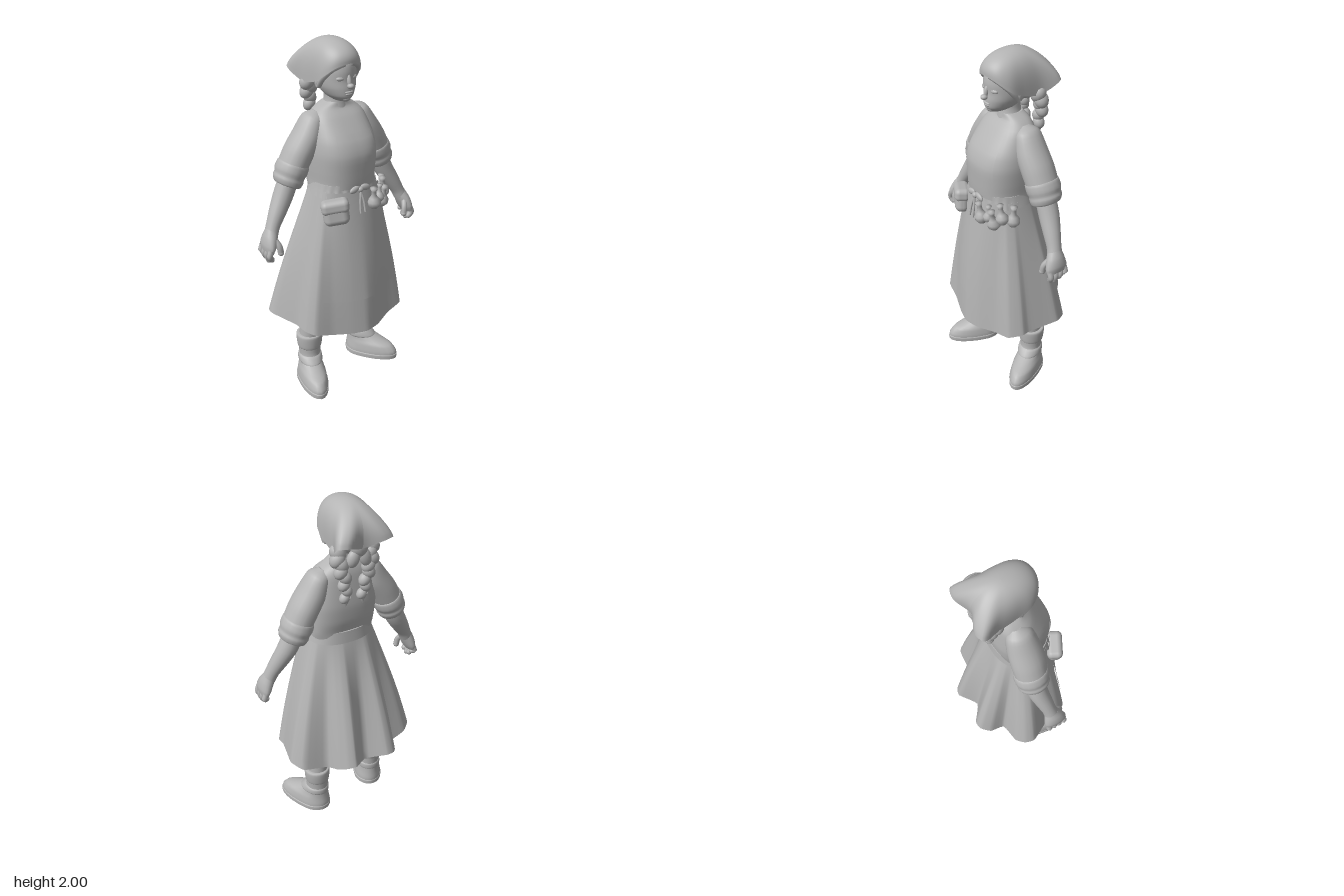
import * as THREE from 'three';
import { RoundedBoxGeometry } from 'three/addons/geometries/RoundedBoxGeometry.js';

const V = (x, y, z) => new THREE.Vector3(x, y, z);
const TAU = Math.PI * 2;
const soften = (t, e) => Math.sign(t) * Math.abs(t) ** e;

// Surface through horizontal sections [y, centreX, centreZ, radiusX, frontZ, backZ]; u runs back, left, front, right.
// A power below 1 makes the sections squarer.
function sections(rows, slope = 0, power = 1) {
  const mid = new THREE.CatmullRomCurve3(rows.map(r => V(r[1], r[0], r[2])), false, 'catmullrom', 0.4);
  const rad = new THREE.CatmullRomCurve3(rows.map(r => V(r[3], r[4], r[5] ?? r[4])), false, 'catmullrom', 0.4);
  return (u, v) => {
    const c = mid.getPoint(v), r = rad.getPoint(v);
    const dx = soften(Math.sin(TAU * u), power) * r.x, k = soften(-Math.cos(TAU * u), power);
    return V(c.x + dx, c.y + slope * dx, c.z + k * (k > 0 ? r.y : r.z));
  };
}

function geometry(points, index) {
  const g = new THREE.BufferGeometry().setFromPoints(points);
  g.setIndex(index);
  g.computeVertexNormals();
  return g;
}

// Closed skin with end caps, from top (v = 0) to bottom (v = 1)
function loft(fn, nu = 20, nv = 16, lift = 0) {
  const pts = [], idx = [];
  for (let i = 0; i <= nv; i++) for (let j = 0; j < nu; j++) pts.push(fn(j / nu, i / nv));
  for (let i = 0; i < nv; i++) for (let j = 0; j < nu; j++) {
    const k = (j + 1) % nu, a = i * nu + j, b = i * nu + k, c = a + nu, d = b + nu;
    idx.push(a, b, c, b, d, c);
  }
  for (const end of [0, 1]) {
    const ring = pts.slice(end * nv * nu, end * nv * nu + nu), base = pts.length;
    const mid = ring.reduce((s, p) => s.add(p), V(0, 0, 0)).divideScalar(nu);
    if (end) mid.y += lift;
    pts.push(...ring, mid);
    for (let j = 0; j < nu; j++) {
      const a = base + j, b = base + (j + 1) % nu;
      idx.push(base + nu, end ? a : b, end ? b : a);
    }
  }
  return geometry(pts, idx);
}

// Open cloth panel lying just over a surface
function panel(fn, u0, u1, v0, v1, off, nu = 24, nv = 12) {
  const pts = [], idx = [], n = nu + 1;
  for (let i = 0; i <= nv; i++) for (let j = 0; j <= nu; j++) {
    const p = fn(u0 + (u1 - u0) * j / nu, v0 + (v1 - v0) * i / nv);
    pts.push(p.add(V(p.x, 0, p.z - 0.02).setLength(off)));
  }
  for (let i = 0; i < nv; i++) for (let j = 0; j < nu; j++) {
    const a = i * n + j;
    idx.push(a, a + 1, a + n, a + 1, a + n + 1, a + n);
  }
  return geometry(pts, idx);
}

export function createModel() {
  const clay = new THREE.MeshStandardMaterial({ color: 0xb4b4b4, side: THREE.DoubleSide });
  clay.name = 'clay grey';
  const model = new THREE.Group();
  const add = (name, geo, pos = [0, 0, 0], rot = [0, 0, 0], scale = [1, 1, 1], parent = model) => {
    const m = new THREE.Mesh(geo, clay);
    m.name = name;
    m.position.set(...pos); m.rotation.set(...rot); m.scale.set(...scale);
    parent.add(m);
  };
  const ball = new THREE.SphereGeometry(1, 16, 12);
  const tube = (pts, r, seg = 12) => new THREE.TubeGeometry(
    new THREE.CatmullRomCurve3(pts.map(p => V(...p))), seg, r, 8);

  // Skirt: an oval waist opening into a folded hem
  const hem = new THREE.CatmullRomCurve3([
    [-.03, -.235], [.065, -.31], [.115, -.295], [.155, -.25], [.19, -.17], [.33, -.155], [.375, -.08],
    [.365, -.02], [.34, .1], [.345, .15], [.3, .22], [.2, .237], [.09, .288], [0, .308], [-.09, .285],
    [-.2, .245], [-.3, .225], [-.335, .17], [-.34, .09], [-.415, -.05], [-.4, -.11], [-.35, -.15],
    [-.235, -.165], [-.225, -.25], [-.185, -.3], [-.135, -.305],
  ].map(([x, z]) => V(x, .39 + .075 * Math.max(Math.abs(x) / .4, -z / .3, 0) ** 2.5, z)), true, 'catmullrom', 0.25);
  const skirt = (u, v) => {
    const h = hem.getPoint(u), a = Math.atan2(h.z - .055, h.x), k = 1 + .035 * Math.sin(v * Math.PI);
    const p = V(.185 * soften(Math.cos(a), .85), 1.23, .055 + .15 * soften(Math.sin(a), .85)).lerp(h, v);
    return V(p.x * k, p.y, p.z * k);
  };
  add('skirt', loft(skirt, 104, 14, .04));
  add('apron', panel(skirt, 10.4 / 26, 15.65 / 26, 0, .75, .009));

  // Bodice, bib and gathered waist
  const torso = sections([
    [1.675, 0, -.01, .06, .058, .062], [1.645, 0, -.015, .112, .07, .078], [1.6, 0, -.012, .155, .112, .093],
    [1.5, 0, 0, .182, .178, .115], [1.42, 0, 0, .19, .208, .12], [1.33, 0, 0, .186, .208, .113],
    [1.26, 0, 0, .181, .205, .097], [1.2, 0, .05, .181, .148, .145]], 0, .78);
  add('bodice', loft(torso, 36, 28));
  add('apronBib', panel(torso, .41, .585, .38, .9, .006));
  const waist = sections([[1.265, 0, .05, .178, .155], [1.235, 0, .05, .184, .157], [1.195, 0, .052, .194, .162]], 0, .85);
  add('waistRuffle', loft((u, v) => {
    const p = waist(u, v), front = Math.max(0, -Math.cos(TAU * u));
    const k = 1 + .03 * v * front * Math.sin(TAU * 22 * u);
    return V(p.x * k, p.y, .05 + (p.z - .05) * k);
  }, 132, 4));

  // Bow of the apron strings
  add('bowKnot', ball, [0, 1.235, .218], [0, 0, 0], [.018, .016, .015]);
  for (const s of [-1, 1]) {
    add('bowLoop', ball, [s * .035, 1.24, .215], [0, 0, s * -.3], [.032, .018, .012]);
    add('bowTail', tube([[0, 1.23, .222], [s * .012, 1.17, .235], [s * .015, 1.11, .246]], .006));
  }

  // Belt pouch
  const pouch = new THREE.Group();
  pouch.name = 'pouch';
  pouch.position.set(-.15, 1.135, .207);
  pouch.rotation.set(-.08, -.5, .1);
  add('pouchBag', new RoundedBoxGeometry(.14, .13, .08, 4, .036), [0, -.003, 0], [0, 0, 0], [1, 1, 1], pouch);
  add('pouchFlap', new RoundedBoxGeometry(.15, .075, .086, 4, .028), [0, .037, .002], [0, 0, 0], [1, 1, 1], pouch);
  model.add(pouch);

  // Bulbs hung from the belt
  const bulb = new THREE.LatheGeometry([[0, -.04], [.02, -.037], [.036, -.016], [.036, .006], [.022, .026],
    [.014, .04], [.013, .065], [.02, .085], [0, .088]].map(p => new THREE.Vector2(...p)), 14);
  [[.08, 1.15, .235, 1], [.125, 1.165, .22, .8], [.155, 1.135, .208, 1], [.185, 1.17, .175, .95], [.21, 1.15, .12, 1]]
    .forEach(([x, y, z, k], i) => add('hangingBulb', bulb, [x, y, z], [.1, i, i % 2 ? -.12 : .12], [k, k, k]));

  // Arms with rolled sleeves and hands
  for (const s of [-1, 1]) {
    const side = s > 0 ? 'left' : 'right';
    const limb = (name, rows, nv = 12) => add(side + name,
      loft(sections(rows.map(([y, x, ...r]) => [y, x * s, ...r]), s * .42), 20, nv));
    limb('Sleeve', [[1.625, .11, -.02, .025, .03], [1.595, .14, -.018, .052, .07], [1.51, .18, -.015, .07, .088],
      [1.43, .23, -.017, .074, .092], [1.34, .278, -.02, .072, .088]], 16);
    limb('RolledCuff', [[1.375, .26, -.02, .064, .078], [1.365, .264, -.02, .077, .093], [1.33, .28, -.022, .08, .095],
      [1.305, .291, -.022, .074, .088], [1.285, .299, -.022, .076, .089], [1.26, .306, -.02, .067, .079],
      [1.255, .306, -.02, .05, .06]], 18);
    limb('Forearm', [[1.29, .295, -.02, .05, .055], [1.2, .338, -.015, .05, .055], [1.12, .385, 0, .043, .047],
      [1.06, .42, .012, .035, .04], [1.02, .438, .02, .034, .042]]);
    limb('Palm', [[1.04, .432, .018, .032, .038], [1.0, .451, .026, .034, .055], [.96, .466, .03, .03, .065],
      [.93, .474, .032, .02, .06]], 8);
    for (let i = 0; i < 4; i++) {
      const z = -.016 + i * .031, drop = [.035, .01, 0, .012][i];
      add(side + 'Finger', tube([[s * .474, .95, z], [s * .484, .915, z], [s * .47, .88 + drop, z * .85 + .004]], .016, 8));
      add(side + 'Fingertip', ball, [s * .47, .88 + drop, z * .85 + .004], [0, 0, 0], [.016, .016, .016]);
    }
    add(side + 'Thumb', tube([[s * .442, 1.0, .055], [s * .427, .965, .08], [s * .42, .925, .085]], .017, 8));
    add(side + 'ThumbTip', ball, [s * .42, .925, .085], [0, 0, 0], [.017, .017, .017]);
  }

  // Legs and boots, the right foot a little forward; calves sit slightly inside the boot tops
  for (const [side, x, z, yaw, inset] of [['left', .187, -.035, .53, -.016], ['right', -.205, .012, -.32, .018]]) {
    const leg = new THREE.Group();
    leg.name = side + 'Leg';
    leg.position.set(x, 0, z);
    leg.rotation.y = yaw;
    const part = (name, rows, nv) => add(name, loft(sections(rows), 24, nv), [0, 0, 0], [0, 0, 0], [1, 1, 1], leg);
    part('calf', [[.5, inset * 1.3, .01, .074, .074], [.4, inset, .005, .068, .068], [.27, 0, 0, .06, .062]], 6);
    part('bootCuff', [[.3, 0, 0, .06, .06], [.295, 0, 0, .076, .075], [.26, 0, 0, .076, .075],
      [.215, 0, 0, .07, .071], [.205, 0, 0, .06, .06]], 12);
    part('boot', [[.23, 0, 0, .066, .068], [.17, 0, .002, .062, .067], [.135, 0, .006, .064, .085, .071],
      [.105, 0, .015, .068, .145, .082], [.08, 0, .03, .075, .195, .1], [.045, 0, .03, .081, .225, .105],
      [.02, 0, .03, .082, .228, .105]], 20);
    part('bootStrap', [[.165, 0, .004, .06, .066], [.155, 0, .004, .069, .08, .073], [.13, 0, .008, .071, .1, .077],
      [.12, 0, .01, .066, .1, .077]], 8);
    part('sole', [[.028, 0, .03, .082, .228, .105], [.024, 0, .03, .086, .232, .108], [0, 0, .03, .085, .23, .107]], 4);
    model.add(leg);
  }

  // Head, neck and face
  const hx = -.012;
  const head = sections([
    [1.965, hx, -.02, .04, .05], [1.9, hx, -.015, .095, .125, .12], [1.85, hx, -.01, .104, .136, .12],
    [1.8, hx, -.005, .103, .13, .11], [1.76, hx, 0, .094, .13, .085], [1.72, hx, .015, .07, .113, .06],
    [1.693, hx, .04, .036, .068, .04]]);
  add('head', loft(head, 32, 28));
  add('neck', loft(sections([[1.76, hx, -.015, .058, .06], [1.69, -.006, -.012, .056, .06],
    [1.62, 0, -.01, .08, .072]]), 20, 8));
  add('noseBridge', ball, [hx, 1.805, .126], [-.25, 0, 0], [.012, .036, .014]);
  add('noseTip', ball, [hx, 1.779, .14], [0, 0, 0], [.018, .014, .019]);
  add('upperLip', ball, [hx, 1.745, .126], [0, 0, 0], [.026, .007, .01]);
  add('lowerLip', ball, [hx, 1.734, .123], [0, 0, 0], [.022, .008, .011]);
  add('chin', ball, [hx, 1.708, .1], [0, 0, 0], [.026, .018, .022]);
  for (const s of [-1, 1]) {
    add('eyelid', ball, [hx + s * .042, 1.815, .107], [0, s * .35, 0], [.022, .012, .012]);
    add('ear', ball, [hx + s * .108, 1.79, -.005], [.2, s * .4, 0], [.012, .032, .022]);
    // Hair swept across the brow and down beside the ear
    add('sideHair', tube([[hx + s * .02, 1.895, .116], [hx + s * .075, 1.868, .09], [hx + s * .101, 1.82, .045],
      [hx + s * .103, 1.765, .0]], .017));
  }
  add('backHair', ball, [hx, 1.81, -.075], [0, 0, 0], [.108, .09, .1]);

  // Head scarf: a round crown spreading to two flared back corners
  const edge = [[.1, 1.83, -.24], [.155, 1.83, -.222], [.127, 1.77, -.13], [.12, 1.78, -.03],
    [.116, 1.825, .06], [.072, 1.875, .115]];
  const scarfHem = new THREE.CatmullRomCurve3([V(0, 1.79, -.195), ...edge.map(p => V(...p)), V(0, 1.893, .134),
    ...edge.slice().reverse().map(([x, y, z]) => V(-x, y, z))], true);
  const scarf = (u, v) => {
    const k = Math.sin(v * Math.PI / 2), c = Math.cos(v * Math.PI / 2) ** .82, a = TAU * u;
    const h = V(.13 * Math.sin(a), 1.83 - .045 * Math.cos(a), -.045 - .185 * Math.cos(a)).lerp(scarfHem.getPoint(u), v * v);
    return V(hx + h.x * k, h.y + (2 - h.y) * c, -.04 + (h.z + .04) * k);
  };
  add('headScarf', panel(scarf, 0, 1, .002, 1, .001, 70, 20));
  const knot = [[0, 1.79, -.16, .05, .06, .038], [.035, 1.73, -.165, .035, .05, .028], [-.035, 1.72, -.16, .033, .055, .026]];
  for (const [x, y, z, a, b, c] of knot) add('scarfKnot', ball, [hx + x, y, z], [0, 0, x * 9], [a, b, c]);

  // Two braids of overlapping strands
  for (const s of [-1, 1]) {
    const path = new THREE.CatmullRomCurve3([V(s * .095, 1.76, -.125), V(s * .085, 1.69, -.148),
      V(s * .062, 1.6, -.15), V(s * .05, 1.5, -.138)]);
    for (let i = 0; i < 8; i++) {
      const p = path.getPoint(i / 7), r = .05 - .0025 * i, w = i % 2 ? 1 : -1;
      add('braidStrand', ball, [p.x + w * .007, p.y, p.z], [0, 0, w * .6], [r * .82, r, r * .82]);
    }
    add('braidEnd', new THREE.ConeGeometry(.026, .06, 10), [s * .05, 1.47, -.136], [Math.PI, 0, 0]);
  }
  return model;
}
